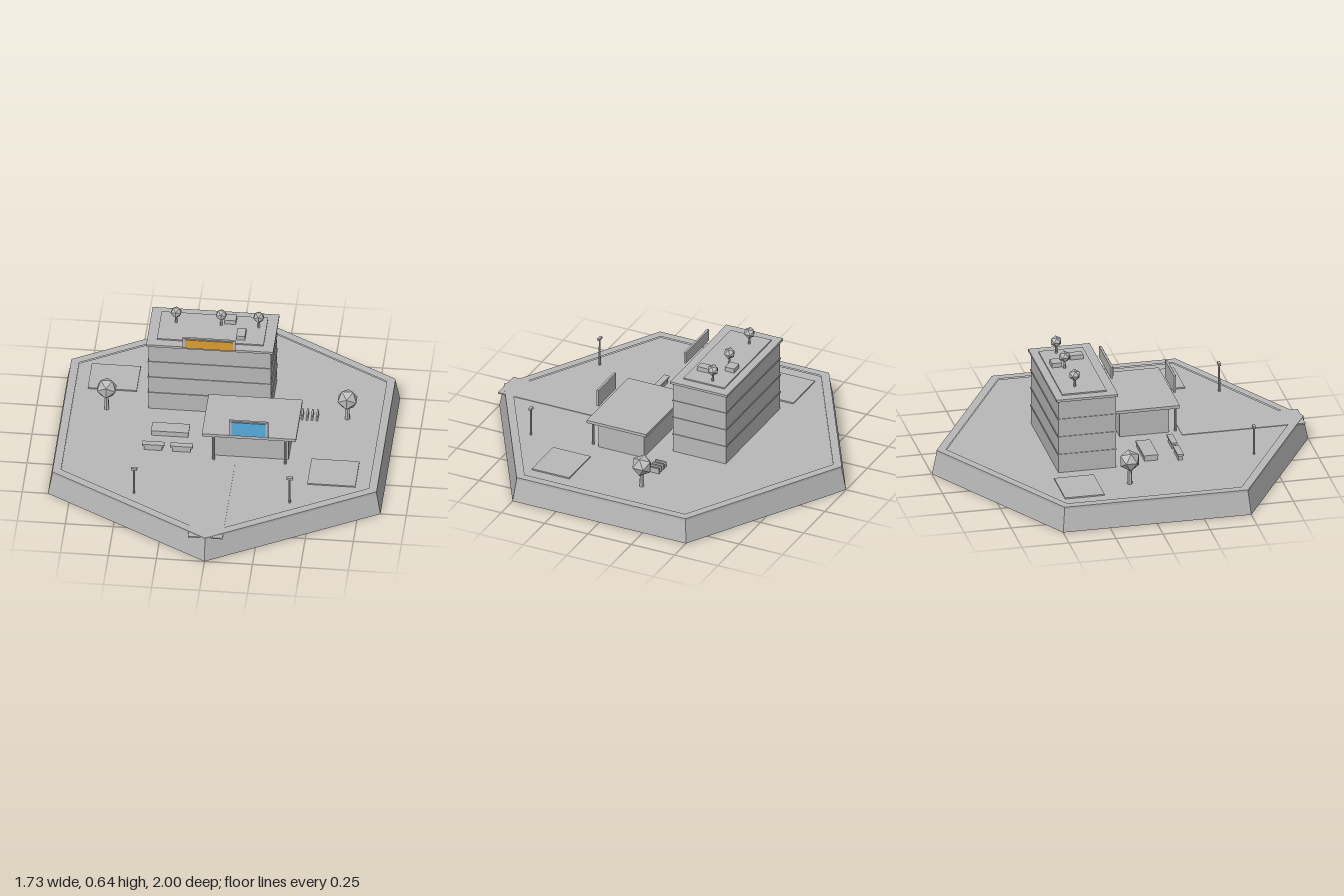
import * as THREE from 'three';

export function createModel() {
  const root = new THREE.Group();
  root.name = 'hexPlaza';
  const grey = new THREE.MeshStandardMaterial({ color: 0xb8b8b8, flatShading: true, name: 'concrete grey' });
  const blue = new THREE.MeshStandardMaterial({ color: 0x54abde, name: 'sign blue' });
  const orange = new THREE.MeshStandardMaterial({ color: 0xdc9c30, name: 'sign orange' });

  const add = (name, geo, x = 0, y = 0, z = 0, mat = grey, parent = root) => {
    const m = new THREE.Mesh(geo, mat);
    m.name = name;
    m.position.set(x, y, z);
    parent.add(m);
    return m;
  };
  // box given by its minimum and maximum corners
  const box = (name, x0, x1, y0, y1, z0, z1, mat = grey) =>
    add(name, new THREE.BoxGeometry(x1 - x0, y1 - y0, z1 - z0),
      (x0 + x1) / 2, (y0 + y1) / 2, (z0 + z1) / 2, mat);

  // hexagonal base, paved ground and raised kerb
  add('base', new THREE.CylinderGeometry(0.975, 1, 0.12, 6), 0, 0.06, 0);
  add('ground', new THREE.CylinderGeometry(0.925, 0.925, 0.01, 6), 0, 0.123, 0);
  const hex = (r, Type) => new Type(Array.from({ length: 6 }, (_, i) =>
    new THREE.Vector2(r * Math.sin(i * Math.PI / 3), r * Math.cos(i * Math.PI / 3))));
  const kerbShape = hex(0.975, THREE.Shape);
  kerbShape.holes.push(hex(0.925, THREE.Path));
  const kerb = new THREE.ExtrudeGeometry(kerbShape, { depth: 0.013, bevelEnabled: false });
  add('kerb', kerb.rotateX(-Math.PI / 2), 0, 0.12, 0);

  // flat ground features
  const G = 0.128;
  box('entrancePath', -0.09, 0.09, 0.124, 0.131, 0.31, 0.965);
  box('backLawn', -0.735, -0.48, G - 0.004, 0.135, -0.46, -0.25);
  box('frontLawn', 0.48, 0.73, G - 0.004, 0.135, 0.24, 0.455);

  // main block with floor bands
  box('mainBlock', -0.405, 0.233, G, 0.535, -0.42, -0.115);
  for (const y of [0.23, 0.33, 0.43]) box('floorBand', -0.409, 0.237, y - 0.003, y + 0.003, -0.424, -0.111);
  box('mainRoof', -0.416, 0.245, 0.533, 0.546, -0.432, -0.105);
  box('roofTerrace', -0.365, 0.19, 0.546, 0.553, -0.39, -0.155);
  box('roofUnit', -0.03, 0.03, 0.553, 0.577, -0.368, -0.315);
  box('roofUnit', 0.045, 0.09, 0.553, 0.577, -0.255, -0.185);

  // entrance pavilion
  box('pavilion', -0.037, 0.362, G, 0.28, -0.01, 0.252);
  box('pavilionRoof', -0.085, 0.405, 0.28, 0.296, -0.045, 0.298);
  for (const x of [-0.025, 0.348])
    add('pavilionPost', new THREE.CylinderGeometry(0.007, 0.007, 0.155, 8), x, 0.205, 0.288);

  // signs: frame with a thin coloured face
  const sign = (name, x0, x1, y0, y1, z, mat) => {
    box(name + 'Frame', x0, x1, y0, y1, z - 0.012, z);
    box(name + 'Face', x0 + 0.013, x1 - 0.013, y0 + 0.007, y1 - 0.007, z, z + 0.004, mat);
  };
  sign('roofSign', -0.225, 0.05, 0.552, 0.615, -0.088, orange);
  sign('pavilionSign', 0.058, 0.262, 0.305, 0.4, 0.311, blue);

  // faceted trees
  const tree = (name, x, z, y0, yc, r) => {
    const g = new THREE.Group();
    g.name = name;
    g.position.set(x, 0, z);
    root.add(g);
    const h = yc - y0;
    add('trunk', new THREE.CylinderGeometry(r * 0.15, r * 0.24, h, 6), 0, y0 + h / 2, 0, grey, g);
    add('crown', new THREE.IcosahedronGeometry(r, 0), 0, yc, 0, grey, g);
  };
  tree('leftTree', 0.63, -0.13, G, 0.252, 0.057);
  tree('rightTree', -0.62, -0.09, G, 0.26, 0.057);
  for (const x of [-0.28, -0.045, 0.15]) tree('roofTree', x, -0.305, 0.55, 0.618, 0.031);

  // planter and benches
  box('planter', -0.365, -0.175, G, 0.155, 0.047, 0.115);
  box('planterRim', -0.368, -0.172, 0.15, 0.16, 0.043, 0.12);
  for (const x of [-0.345, -0.197]) {
    box('benchBase', x - 0.047, x + 0.047, G, 0.154, 0.22, 0.242);
    box('benchSeat', x - 0.058, x + 0.058, 0.154, 0.165, 0.215, 0.247);
  }

  // bicycle racks
  for (let i = 0; i < 4; i++) {
    const x = 0.396 + i * 0.026;
    box('bikeRack', x - 0.005, x + 0.005, G, 0.157, -0.156, -0.093);
  }

  // lamp posts
  for (const x of [-0.405, 0.405]) {
    add('lampPost', new THREE.CylinderGeometry(0.005, 0.006, 0.155, 8), x, 0.205, 0.62);
    box('lampHead', x - 0.016, x + 0.016, 0.279, 0.291, 0.612, 0.627);
  }
  return root;
}
